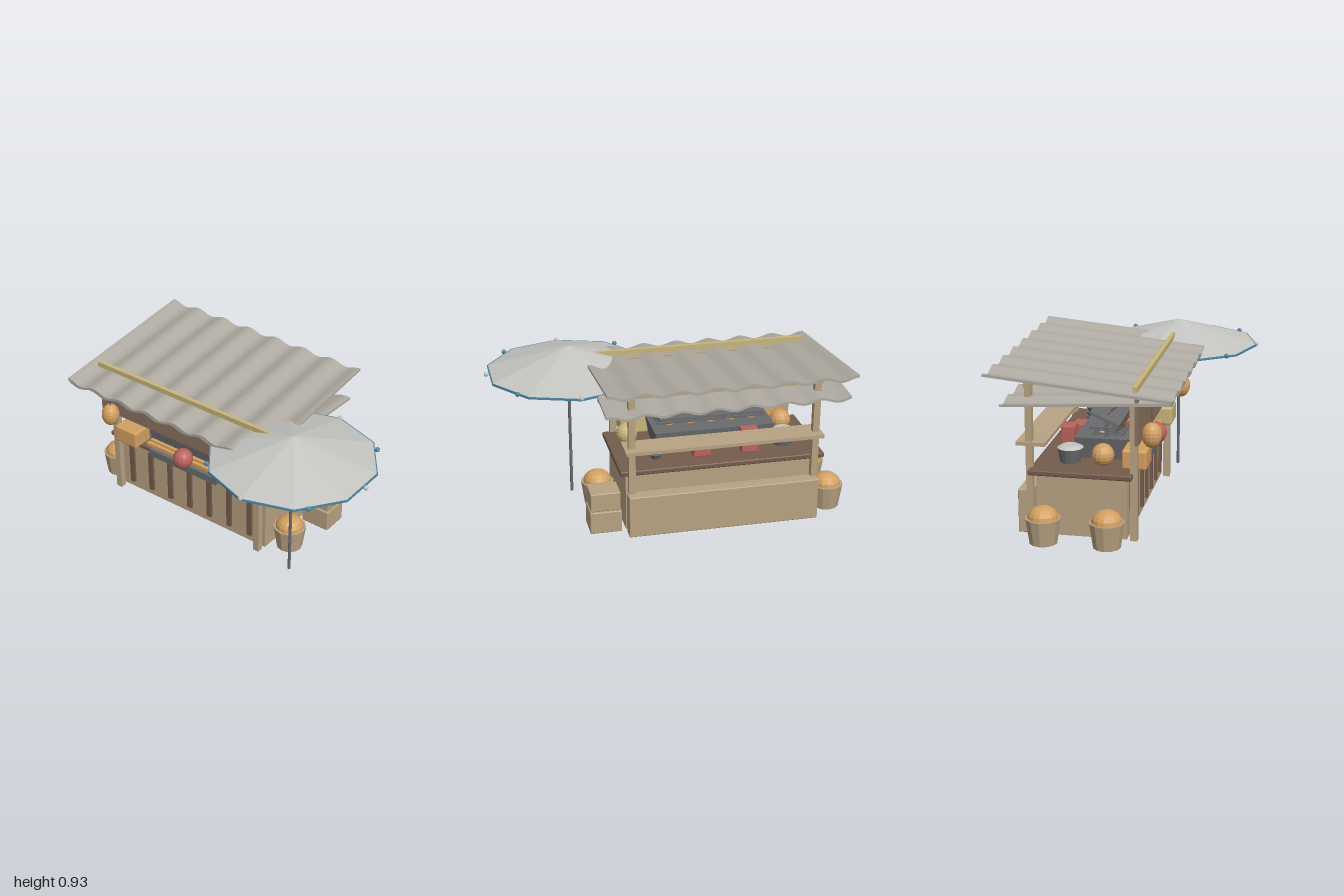
import * as THREE from 'three';
import { RoundedBoxGeometry } from 'three/addons/geometries/RoundedBoxGeometry.js';

const mat = (name, color, flat = false) => {
  const m = new THREE.MeshStandardMaterial({ color, flatShading: flat });
  m.name = name;
  return m;
};

export function createModel() {
  const root = new THREE.Group();
  root.name = 'marketStall';
  const M = {
    roof: mat('roofGray', 0xaeaaa1),
    canvas: mat('canvasGray', 0xc4c4c1, true),
    teal: mat('teal', 0x4f87a3, true),
    wood: mat('lightWood', 0xb8a282, true),
    brown: mat('brown', 0x8a7260, true),
    dark: mat('darkBrown', 0x745c4c, true),
    yellow: mat('paleYellow', 0xc8b67a, true),
    orange: mat('orange', 0xd3a062, true),
    red: mat('red', 0xb9635c, true),
    metal: mat('darkMetal', 0x6a6b6e, true),
  };

  const add = (name, geo, m, x = 0, y = 0, z = 0, parent = root) => {
    const mesh = new THREE.Mesh(geo, m);
    mesh.name = name;
    mesh.position.set(x, y, z);
    parent.add(mesh);
    return mesh;
  };
  // box given by its min and max on each axis
  const box = (name, m, x0, x1, y0, y1, z0, z1, r = 0) => {
    const s = [x1 - x0, y1 - y0, z1 - z0];
    const geo = r ? new RoundedBoxGeometry(...s, 2, r) : new THREE.BoxGeometry(...s);
    return add(name, geo, m, (x0 + x1) / 2, (y0 + y1) / 2, (z0 + z1) / 2);
  };
  const ball = (name, m, r, x, y, z, sy = 1, w = 14, h = 10) => {
    const b = add(name, new THREE.SphereGeometry(r, w, h), m, x, y, z);
    b.scale.y = sy;
    return b;
  };

  // counter
  box('counterBody', M.wood, -0.8, 0.295, 0.005, 0.35, -0.405, 0.088);
  box('counterTop', M.dark, -0.85, 0.33, 0.35, 0.38, -0.44, 0.122, 0.008);
  for (let i = 0; i < 7; i++) {
    const x = -0.707 + i * 0.149;
    box('frontSlat', M.dark, x - 0.016, x + 0.016, 0.05, 0.32, 0.08, 0.104);
  }
  box('backBench', M.wood, -0.8, 0.295, 0.005, 0.25, -0.51, -0.43, 0.006);
  box('backShelf', M.wood, -0.82, 0.31, 0.505, 0.525, -0.51, -0.35);

  // posts and beams
  for (const x of [-0.787, 0.267]) {
    box('frontPost', M.wood, x - 0.019, x + 0.019, 0, 0.82, 0.105, 0.143);
    box('backPost', M.wood, x - 0.019, x + 0.019, 0, 0.86, -0.46, -0.424);
  }
  box('frontBeam', M.wood, -0.81, 0.287, 0.8, 0.837, 0.1, 0.13);
  box('backBeam', M.wood, -0.82, 0.3, 0.82, 0.853, -0.46, -0.425);
  box('signBoard', M.brown, -0.87, 0.347, 0.555, 0.81, 0.143, 0.162);
  box('roofBatten', M.yellow, -0.885, 0.357, 0.845, 0.875, 0.134, 0.158);

  // wavy roof sheets, sloping from back to front
  const sheet = (name, x0, x1, zb, yb, zf, yf, amp, phase) => {
    const w = x1 - x0, d = zf - zb;
    const geo = new THREE.BoxGeometry(w, 0.014, d, 84, 1, 6);
    const p = geo.attributes.position;
    for (let i = 0; i < p.count; i++) {
      const t = p.getZ(i) / d + 0.5, u = p.getX(i) / w + 0.5;
      p.setY(i, p.getY(i) + yb + (yf - yb) * t + amp * Math.cos(u * 14 * Math.PI + phase));
    }
    geo.computeVertexNormals();
    add(name, geo, M.roof, (x0 + x1) / 2, 0, (zb + zf) / 2);
  };
  sheet('upperRoof', -0.955, 0.432, -0.64, 0.906, 0.345, 0.81, 0.012, 0);
  sheet('lowerRoof', -0.95, 0.425, -0.555, 0.752, 0.342, 0.802, 0.011, 0.8);

  // umbrella
  const ux = 0.515, uz = 0.155;
  add('umbrellaPole', new THREE.CylinderGeometry(0.009, 0.009, 0.78, 10), M.metal, ux, 0.39, uz);
  add('umbrellaCanopy', new THREE.ConeGeometry(0.472, 0.138, 10), M.canvas, ux, 0.854, uz);
  add('umbrellaLining', new THREE.CylinderGeometry(0.475, 0.475, 0.012, 10), M.teal, ux, 0.78, uz);
  for (let i = 0; i < 8; i++) {
    const a = i * Math.PI / 4;
    ball('umbrellaBead', i % 2 ? M.teal : M.canvas, 0.014,
      ux + 0.47 * Math.sin(a), 0.788, uz + 0.47 * Math.cos(a), 1, 8, 6);
  }

  // hanging lanterns
  for (const x of [-0.757, 0.234]) {
    ball('lantern', M.orange, 0.054, x, 0.585, 0.213, 1.28);
    box('lanternCord', M.dark, x - 0.003, x + 0.003, 0.645, 0.735, 0.21, 0.216);
  }

  // buckets heaped with produce
  for (const [x, z] of [[-0.905, 0], [-0.905, -0.345], [0.39, -0.025]]) {
    add('bucket', new THREE.CylinderGeometry(0.096, 0.076, 0.14, 12), M.wood, x, 0.07, z);
    ball('bucketProduce', M.orange, 0.083, x, 0.14, z, 0.79);
  }

  // crates beside the counter
  box('lowerCrate', M.wood, 0.32, 0.5, 0.003, 0.133, -0.42, -0.26, 0.006);
  box('upperCrate', M.wood, 0.325, 0.495, 0.135, 0.245, -0.413, -0.268, 0.006);

  // goods on the counter
  box('orangeBox', M.orange, -0.757, -0.593, 0.383, 0.49, 0.05, 0.185, 0.012);
  box('yellowBox', M.yellow, 0.07, 0.235, 0.383, 0.487, 0.05, 0.185, 0.012);
  ball('redMelon', M.red, 0.061, -0.26, 0.441, 0.15);
  ball('yellowMelon', M.yellow, 0.062, 0.22, 0.441, -0.062);
  ball('orangeMelon', M.orange, 0.062, -0.7, 0.441, -0.062);

  // grill: flared firebox, front tray, grate and tilted rack
  const fire = new THREE.BoxGeometry(0.66, 0.12, 0.26);
  const fp = fire.attributes.position;
  for (let i = 0; i < fp.count; i++) {
    if (fp.getY(i) > 0) { fp.setX(i, fp.getX(i) * 1.06); fp.setZ(i, fp.getZ(i) * 1.12); }
  }
  add('grillFirebox', fire, M.metal, -0.26, 0.44, -0.095);
  box('grillTray', M.metal, -0.51, -0.01, 0.36, 0.405, 0.06, 0.16);
  for (const z of [0.08, 0.115]) box('trayLoaf', M.orange, -0.55, 0.03, 0.405, 0.428, z, z + 0.022);
  for (let i = 0; i < 15; i++) {
    const x = -0.57 + i * 0.0443;
    box('grateBar', M.metal, x - 0.004, x + 0.004, 0.512, 0.522, -0.14, 0.025);
  }
  for (const z of [-0.14, 0.02]) box('grateRail', M.metal, -0.58, 0.06, 0.512, 0.524, z - 0.005, z + 0.005);
  const rack = box('tiltedRack', M.metal, -0.57, 0.05, 0.588, 0.602, -0.17, 0.005);
  rack.rotation.x = 0.41;
  box('rackShelf', M.metal, -0.57, 0.05, 0.538, 0.551, -0.165, -0.04);
  for (const x of [-0.56, 0.04]) box('rackLeg', M.metal, x - 0.008, x + 0.008, 0.5, 0.59, -0.08, -0.06);

  // two tilted rows of skewers with food at the tips
  const skewer = (x, y0, z0, y1, z1, tip) => {
    const a = new THREE.Vector3(x, y0, z0), b = new THREE.Vector3(x, y1, z1);
    const g = new THREE.Group();
    g.name = 'skewer';
    g.position.copy(a).lerp(b, 0.5);
    g.quaternion.setFromUnitVectors(new THREE.Vector3(0, 1, 0), b.clone().sub(a).normalize());
    const len = a.distanceTo(b);
    add('skewerStick', new THREE.CylinderGeometry(0.003, 0.003, len, 5), M.dark, 0, 0, 0, g);
    add('skewerFood', new THREE.BoxGeometry(0.018, 0.03, 0.018), tip, 0, len / 2 - 0.012, 0, g);
    root.add(g);
  };
  const tips = [M.red, M.orange, M.yellow];
  for (let i = 0; i < 14; i++) {
    const x = -0.54 + i * 0.043;
    skewer(x, 0.505, -0.05, 0.58, 0.055, tips[i % 3]);
    ball('grillMorsel', tips[(i + 1) % 3], 0.016, x, 0.485, 0.06, 1, 8, 6);
    if (i % 2) skewer(x, 0.575, -0.11, 0.672, 0, tips[(i + 2) % 3]);
  }
  for (let i = 0; i < 5; i++) ball('grillBun', M.orange, 0.04, -0.5 + i * 0.12, 0.505, -0.1, 0.5);

  // stacked bowls, cooking pot and red tins at the back
  for (let i = 0; i < 3; i++) {
    add('bowl', new THREE.CylinderGeometry(0.037, 0.025, 0.026, 12), M.metal, 0.1, 0.394 + i * 0.028, -0.296);
  }
  add('pot', new THREE.CylinderGeometry(0.07, 0.055, 0.08, 14), M.metal, -0.66, 0.42, -0.25);
  add('potLid', new THREE.CylinderGeometry(0.045, 0.072, 0.014, 14), M.canvas, -0.66, 0.467, -0.25);
  box('tallTin', M.red, -0.49, -0.39, 0.382, 0.52, -0.345, -0.27, 0.006);
  box('shortTin', M.red, -0.21, -0.11, 0.382, 0.45, -0.345, -0.27, 0.006);

  return root;
}
